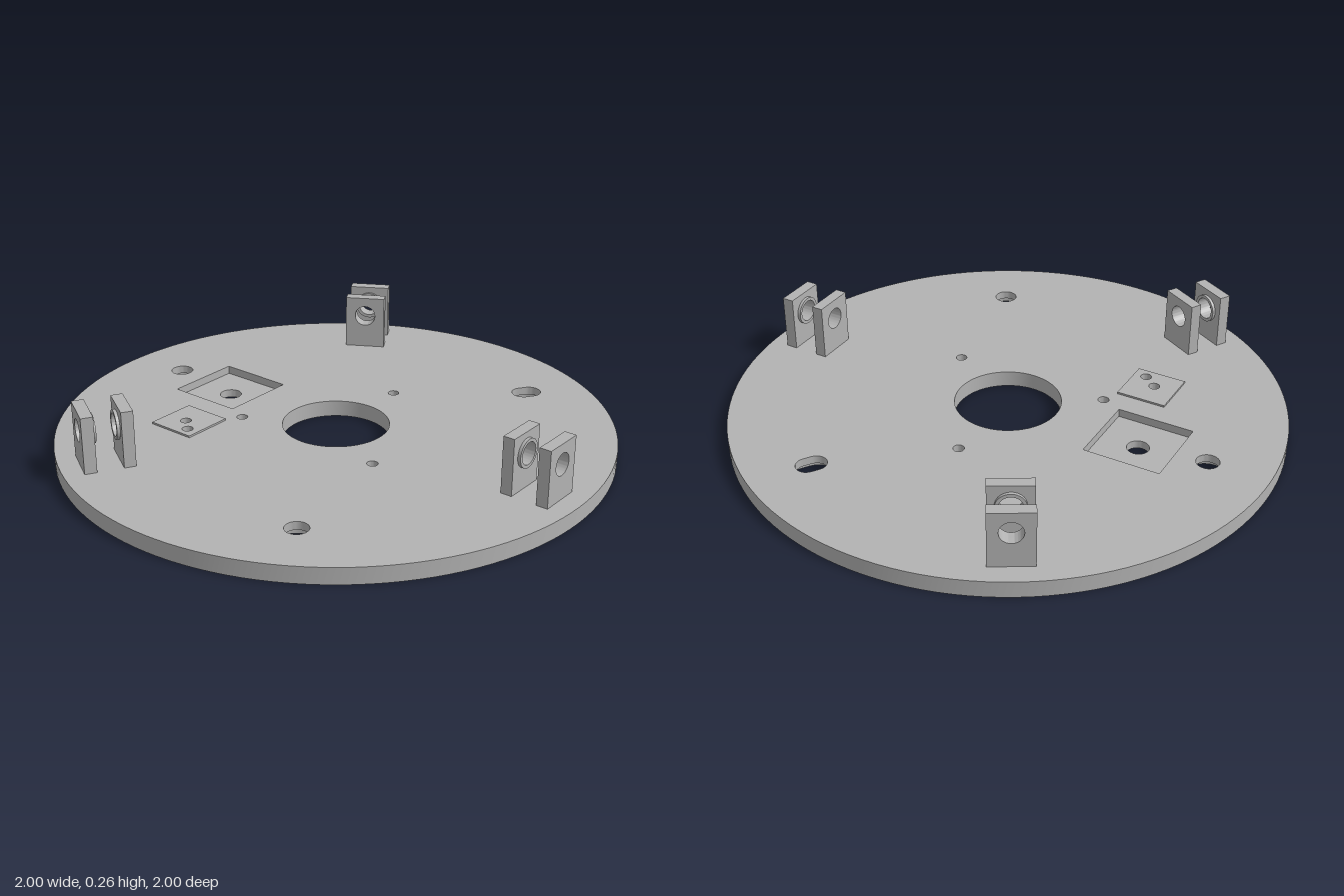
import * as THREE from 'three';
import { mergeGeometries, toCreasedNormals } from 'three/addons/utils/BufferGeometryUtils.js';

const TOP = 0.06, MID = 0.03, PAD = 0.067;
const CREASE = 0.5;

// Outlines in plan, as [x, z] points going from +x towards +z
function slot(ax, az, bx, bz, r, n = 32) {
  const dir = Math.atan2(bz - az, bx - ax), pts = [];
  const half = n / 2;
  for (let i = 0; i <= half; i++) {
    const t = dir - Math.PI / 2 + (Math.PI * i) / half;
    pts.push([bx + r * Math.cos(t), bz + r * Math.sin(t)]);
  }
  for (let i = 0; i <= half; i++) {
    const t = dir + Math.PI / 2 + (Math.PI * i) / half;
    pts.push([ax + r * Math.cos(t), az + r * Math.sin(t)]);
  }
  return pts;
}

function circle(x, z, r, n = 32) {
  return Array.from({ length: n }, (_, i) => {
    const t = (2 * Math.PI * i) / n;
    return [x + r * Math.cos(t), z + r * Math.sin(t)];
  });
}

const rect = (x0, z0, x1, z1) => [[x0, z0], [x1, z0], [x1, z1], [x0, z1]];

// Flat horizontal face with openings
function sheet(outline, openings, y, up = true) {
  const s = up ? -1 : 1;
  const vecs = (pts) => pts.map(([x, z]) => new THREE.Vector2(x, s * z));
  const shape = new THREE.Shape(vecs(outline));
  shape.holes = openings.map((o) => new THREE.Path(vecs(o)));
  const g = new THREE.ShapeGeometry(shape).toNonIndexed();
  g.rotateX((s * Math.PI) / 2).translate(0, y, 0);
  g.deleteAttribute('uv');
  return g;
}

// Vertical wall along an outline, facing outwards or into an opening
function wall(outline, y0, y1, inward = true) {
  const pts = inward ? [...outline].reverse() : outline;
  const pos = [];
  pts.forEach(([ax, az], i) => {
    const [bx, bz] = pts[(i + 1) % pts.length];
    pos.push(ax, y0, az, ax, y1, az, bx, y0, bz);
    pos.push(bx, y0, bz, ax, y1, az, bx, y1, bz);
  });
  const g = new THREE.BufferGeometry();
  g.setAttribute('position', new THREE.Float32BufferAttribute(pos, 3));
  g.computeVertexNormals();
  return toCreasedNormals(g, CREASE);
}

export function createModel() {
  const group = new THREE.Group();
  const metal = new THREE.MeshStandardMaterial({ color: 0xb2b2b2, side: THREE.DoubleSide });
  metal.name = 'grey metal';

  const add = (name, geometries, parent = group) => {
    const mesh = new THREE.Mesh(mergeGeometries(geometries), metal);
    mesh.name = name;
    parent.add(mesh);
  };

  // Plan outlines
  const rim = circle(0, 0, 1, 128);
  const bore = circle(0, 0, 0.193, 64);
  const pocket = rect(-0.143, -0.66, 0.143, -0.375);
  const pocketHole = circle(0, -0.517, 0.04);
  const padEdge = rect(-0.42, -0.51, -0.233, -0.325);
  const padHoles = [circle(-0.335, -0.425, 0.02, 24), circle(-0.38, -0.372, 0.02, 24)];
  const pinHoles = [0, 1, 2].map((i) => {
    const t = (i * 2 * Math.PI) / 3;
    return circle(0.345 * Math.cos(t), 0.345 * Math.sin(t), 0.02, 24);
  });
  // Mounting holes, one of them slotted, each with a wider recess underneath
  const mount = (r) => [
    circle(0, -0.775, r), circle(-0.67, 0.386, r), slot(0.656, 0.377, 0.68, 0.393, r),
  ];
  const bolts = mount(0.041), recesses = mount(0.072);

  // Round base plate
  add('basePlate', [
    sheet(rim, [bore, pocket, padEdge, ...bolts, ...pinHoles], TOP),
    sheet(rim, [bore, pocketHole, ...recesses], 0, false),
    wall(rim, 0, TOP, false),
    wall(bore, 0, TOP),
  ]);
  add('mountingHoles', bolts.flatMap((b, i) => [
    wall(b, MID, TOP), wall(recesses[i], 0, MID), sheet(recesses[i], [b], MID, false),
  ]));
  add('pinHoles', pinHoles.flatMap((p) => [wall(p, MID, TOP), sheet(p, [], MID)]));
  add('squarePocket', [
    wall(pocket, MID, TOP), sheet(pocket, [pocketHole], MID), wall(pocketHole, 0, MID),
  ]);

  // Raised square pad with two blind holes
  add('raisedPad', [
    wall(padEdge, TOP, PAD, false),
    sheet(padEdge, padHoles, PAD),
    ...padHoles.flatMap((p) => [wall(p, MID, PAD), sheet(p, [], MID)]),
  ]);

  // Three pairs of upright lugs, with a thin ring around the hole on the inner faces
  const eye = new THREE.Path().absarc(0, 0.19, 0.04, 0, Math.PI * 2, true);
  const extrude = (shape, z0, z1) => {
    shape.holes.push(eye);
    const g = new THREE.ExtrudeGeometry(shape, { depth: z1 - z0, bevelEnabled: false, curveSegments: 32 });
    return toCreasedNormals(g.translate(0, 0, z0), CREASE);
  };
  const lug = (z0, z1) => extrude(new THREE.Shape([
    new THREE.Vector2(-0.077, TOP), new THREE.Vector2(0.077, TOP),
    new THREE.Vector2(0.077, 0.265), new THREE.Vector2(-0.077, 0.265),
  ]), z0, z1);
  const ring = (z0, z1) => extrude(new THREE.Shape().absarc(0, 0.19, 0.052, 0, Math.PI * 2), z0, z1);

  for (let i = 0; i < 3; i++) {
    const bracket = new THREE.Group();
    bracket.name = 'bracket' + (i + 1);
    bracket.rotation.y = (i * 2 * Math.PI) / 3;
    add('innerLug', [lug(0.751, 0.793), ring(0.793, 0.804)], bracket);
    add('outerLug', [lug(0.885, 0.928), ring(0.874, 0.885)], bracket);
    group.add(bracket);
  }
  return group;
}
